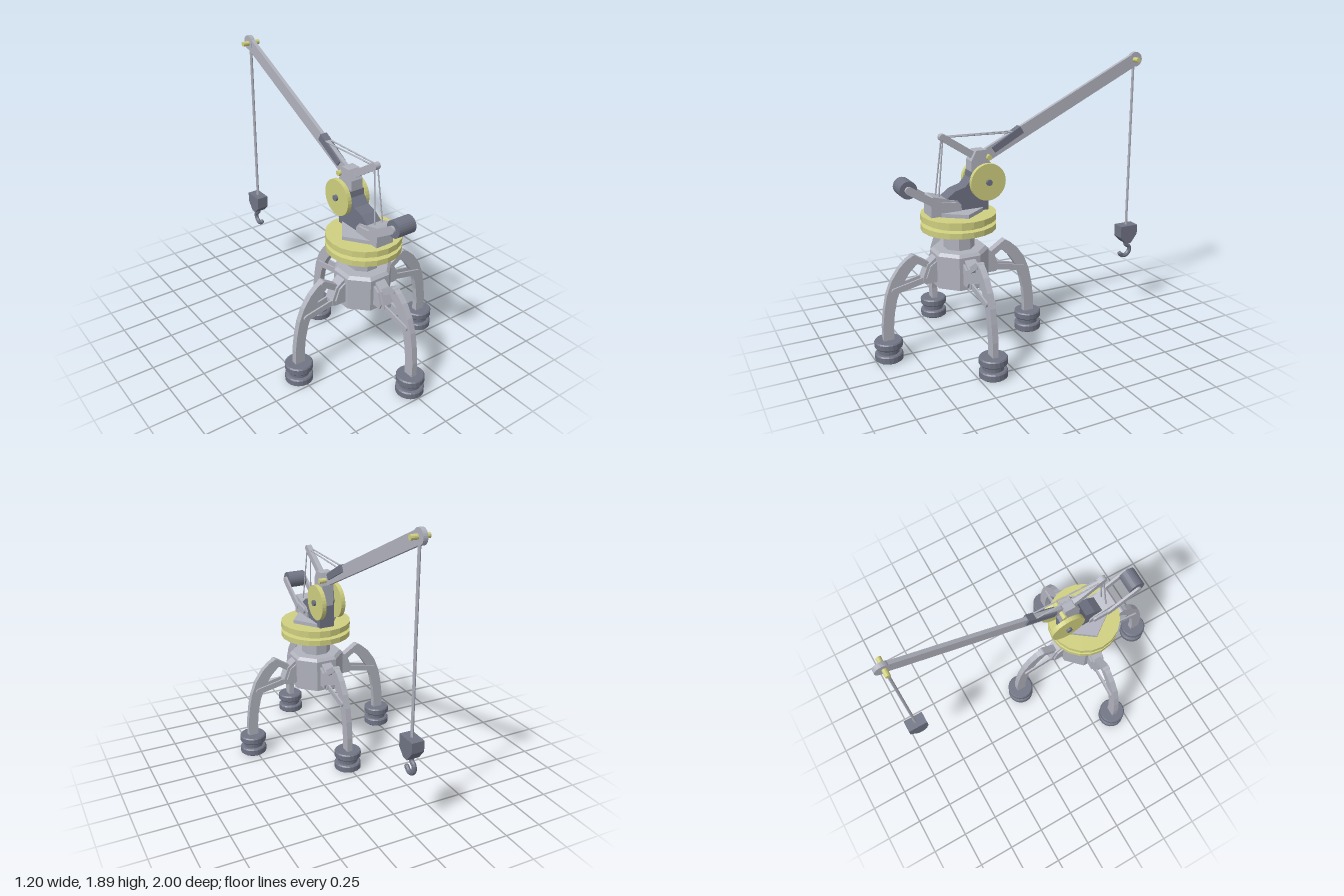
import * as THREE from 'three';

const mat = (color) => new THREE.MeshStandardMaterial({ color, flatShading: true, side: THREE.DoubleSide });
const V = (x, y, z) => new THREE.Vector3(x, y, z);
const BASE_Z = 0.4;

export function createModel() {
  const model = new THREE.Group();
  model.name = 'harbourCrane';
  const light = mat(0xb0b2bd), dark = mat(0x707484), yellow = mat(0xcfcf80);

  const add = (parent, name, geometry, material) => {
    const mesh = new THREE.Mesh(geometry, material);
    mesh.name = name;
    parent.add(mesh);
    return mesh;
  };

  // Extrudes a [z, y] outline sideways, centred on x
  const extrudeX = (shape, width, x = 0) => {
    const g = new THREE.ExtrudeGeometry(shape, { depth: width, bevelEnabled: false, curveSegments: 8 });
    return g.translate(0, 0, -width / 2).rotateY(-Math.PI / 2).translate(x, 0, 0);
  };
  const plate = (points, width, x) =>
    extrudeX(new THREE.Shape(points.map(([z, y]) => new THREE.Vector2(z, y))), width, x);

  // Flat bar with round ends between two [z, y] points
  const bar = (a, b, radius, width, x) => {
    const angle = Math.atan2(b[1] - a[1], b[0] - a[0]);
    const s = new THREE.Shape();
    s.absarc(b[0], b[1], radius, angle - Math.PI / 2, angle + Math.PI / 2, false);
    s.absarc(a[0], a[1], radius, angle + Math.PI / 2, angle + Math.PI * 1.5, false);
    return extrudeX(s, width, x);
  };

  // Cylinder lying along x, and a thin rod between two points
  const axle = (radius, width, x, y, z, sides = 24) =>
    new THREE.CylinderGeometry(radius, radius, width, sides).rotateZ(Math.PI / 2).translate(x, y, z);
  const rod = (a, b, radius) => new THREE.TubeGeometry(new THREE.LineCurve3(a, b), 1, radius, 6);
  const lathe = (points, sides) =>
    new THREE.LatheGeometry(points.map(([r, y]) => new THREE.Vector2(r, y)), sides);

  // Octagonal hub, column and grooved turntable
  const base = new THREE.Group();
  base.name = 'base';
  base.position.z = BASE_Z;
  model.add(base);
  const oct = Math.PI / 8;
  add(base, 'hub', lathe([[0, 0.46], [0.192, 0.46], [0.192, 0.68], [0.172, 0.7], [0, 0.7]], 8).rotateY(oct), light);
  add(base, 'column', new THREE.CylinderGeometry(0.102, 0.102, 0.16, 8).rotateY(oct).translate(0, 0.76, 0), light);
  add(base, 'turntable', lathe([[0, 0.83], [0.247, 0.83], [0.247, 0.868], [0.21, 0.873], [0.21, 0.89],
    [0.247, 0.895], [0.247, 0.935], [0, 0.935]], 20), yellow);
  const deck = new THREE.Shape([[0.17, 0], [0.06, 0.15], [-0.06, 0.15], [-0.17, 0], [-0.06, -0.15], [0.06, -0.15]]
    .map(([x, y]) => new THREE.Vector2(x, y)));
  add(base, 'deckPlate', new THREE.ExtrudeGeometry(deck, { depth: 0.03, bevelEnabled: false })
    .rotateX(-Math.PI / 2).translate(0, 0.93, 0), light);

  // Four arched legs, each with bracket, struts and a grooved foot
  for (let i = 0; i < 4; i++) {
    const leg = new THREE.Group();
    leg.name = 'leg' + (i + 1);
    leg.rotation.y = i * Math.PI / 2;
    base.add(leg);
    add(leg, 'arch', plate([[0.475, 0.13], [0.475, 0.22], [0.465, 0.32], [0.445, 0.41], [0.41, 0.5], [0.36, 0.575],
      [0.29, 0.645], [0.325, 0.695], [0.37, 0.67], [0.42, 0.625], [0.475, 0.545], [0.51, 0.455],
      [0.53, 0.36], [0.545, 0.24], [0.545, 0.13]], 0.04), light);
    add(leg, 'upperStrut', bar([0.21, 0.6], [0.325, 0.675], 0.02, 0.05), light);
    add(leg, 'bracket', plate([[0.16, 0.49], [0.25, 0.49], [0.27, 0.505], [0.27, 0.53], [0.235, 0.62],
      [0.175, 0.665], [0.16, 0.665]], 0.075), light);
    for (const side of [-1, 1]) {
      add(leg, 'bracketCheek', plate([[0.16, 0.5], [0.24, 0.5], [0.25, 0.53], [0.22, 0.61], [0.16, 0.65]],
        0.014, side * 0.043), light);
      add(leg, 'lowerStrut', bar([0.22, 0.525], [0.46, 0.475], 0.02, 0.012, side * 0.026), light);
    }
    add(leg, 'foot', lathe([[0, 0], [0.082, 0], [0.092, 0.008], [0.092, 0.045], [0.085, 0.053], [0.068, 0.055],
      [0.068, 0.088], [0.085, 0.09], [0.092, 0.098], [0.092, 0.132], [0.085, 0.14], [0, 0.14]], 20)
      .translate(0, 0, 0.51), dark);
  }

  // Machine house, rear cover and mast head
  add(model, 'machineHouse', plate([[0.21, 0.94], [0.51, 0.94], [0.51, 1.04], [0.44, 1.09], [0.37, 1.11],
    [0.325, 1.16], [0.32, 1.2], [0.21, 1.2]], 0.11), dark);
  add(model, 'rearCover', plate([[0.61, 0.94], [0.61, 1.06], [0.595, 1.075], [0.54, 1.06], [0.48, 1.04],
    [0.43, 1.03], [0.405, 1.0], [0.4, 0.94]], 0.13), light);
  add(model, 'mastHead', plate([[0.2, 1.1], [0.32, 1.1], [0.32, 1.27], [0.285, 1.335], [0.215, 1.335],
    [0.19, 1.25]], 0.085), light);

  // Counterweight roller on two arms
  add(model, 'counterweight', axle(0.057, 0.13, 0, 1.14, 0.755), dark);
  for (const side of [-1, 1]) {
    add(model, 'counterweightArm', bar([0.755, 1.14], [0.55, 1.01], 0.025, 0.016, side * 0.075), light);
    add(model, 'counterweightArmFoot', bar([0.55, 1.01], [0.45, 1.0], 0.024, 0.016, side * 0.072), light);
    // Winch drums
    add(model, 'winchDrum', axle(0.122, 0.03, side * 0.07, 1.13, 0.22, 32), yellow);
  }
  add(model, 'winchAxle', axle(0.02, 0.205, 0, 1.13, 0.22, 12), dark);

  // Stay mast and cables
  add(model, 'stayMast', bar([0.5, 1.435], [0.27, 1.285], 0.023, 0.035), light);
  for (const side of [-1, 1]) {
    add(model, 'backStay', rod(V(side * 0.012, 1.435, 0.5), V(side * 0.03, 1.05, 0.545), 0.005), light);
    add(model, 'frontStay', rod(V(side * 0.012, 1.437, 0.5), V(side * 0.02, 1.425, -0.03), 0.005), light);
  }

  // Jib with sleeve and pins
  add(model, 'jib', bar([0.18, 1.3], [-0.94, 1.845], 0.043, 0.026), light);
  add(model, 'jibTip', axle(0.05, 0.03, 0, 1.845, -0.94), light);
  add(model, 'jibSleeve', plate([[0.165, 1.34], [-0.04, 1.46], [-0.065, 1.415], [0.14, 1.305]], 0.05), dark);
  add(model, 'pivotPin', axle(0.018, 0.125, 0, 1.285, 0.2, 12), yellow);
  add(model, 'tipPin', axle(0.017, 0.125, 0, 1.843, -0.93, 12), yellow);

  // Hoist cable, hook block and hook
  add(model, 'hoistCable', rod(V(0, 1.83, -0.93), V(0, 0.62, -0.93), 0.01), light);
  add(model, 'hookBlock', plate([[-0.86, 0.645], [-1, 0.645], [-1, 0.575], [-0.95, 0.51], [-0.91, 0.51],
    [-0.86, 0.56]], 0.085), dark);
  const hookPath = new THREE.CatmullRomCurve3([V(0, 0.52, -0.93), V(0, 0.49, -0.935), V(0, 0.47, -0.963),
    V(0, 0.435, -0.966), V(0, 0.407, -0.94), V(0, 0.405, -0.91), V(0, 0.425, -0.885)]);
  add(model, 'hook', new THREE.TubeGeometry(hookPath, 20, 0.016, 8), dark);
  add(model, 'hookTip', new THREE.SphereGeometry(0.016, 8, 6).translate(0, 0.425, -0.885), dark);

  return model;
}
